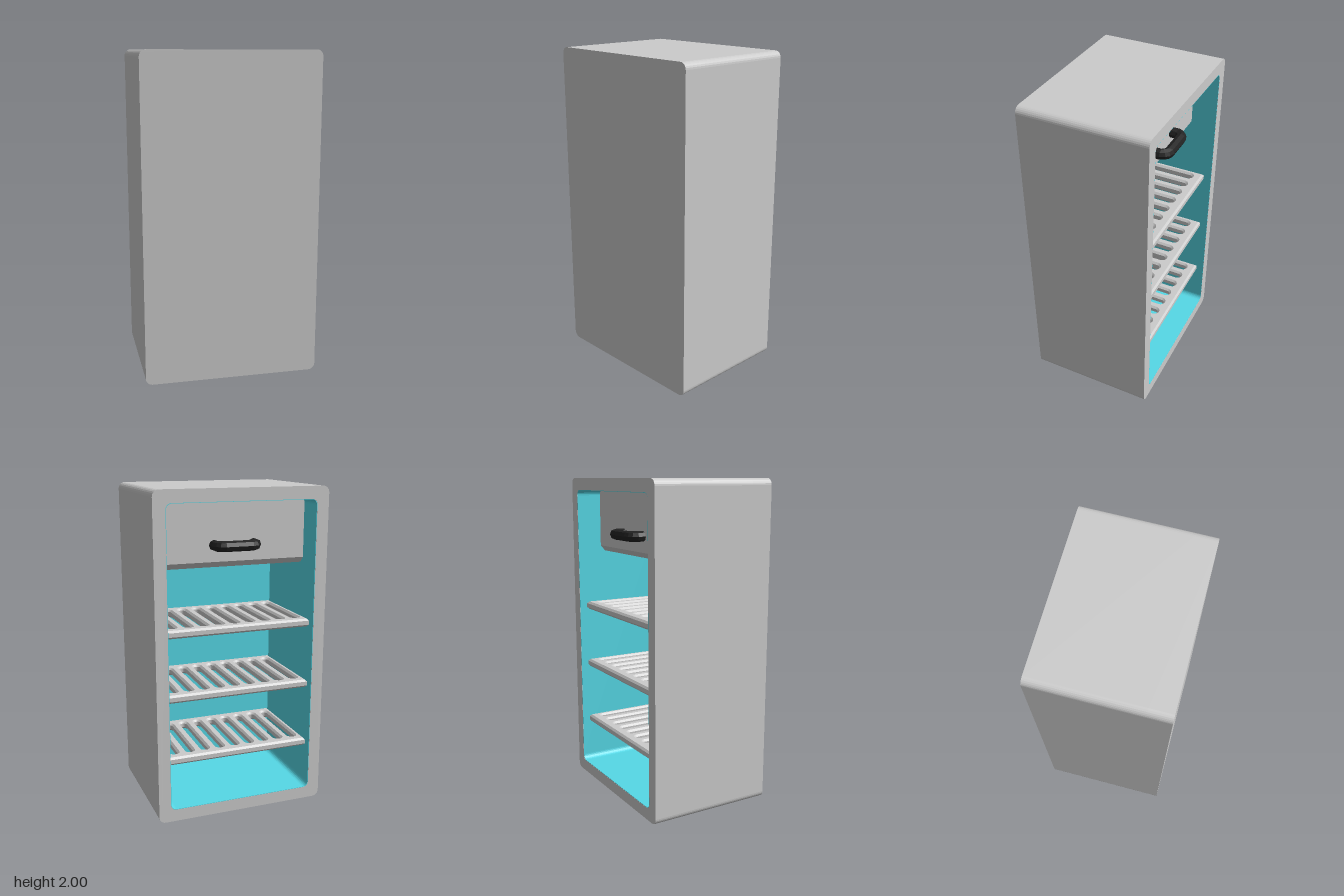
import * as THREE from 'three';

const grey = new THREE.MeshStandardMaterial({ color: 0xcccccc });
const teal = new THREE.MeshStandardMaterial({ color: 0x55d8e6 });
const black = new THREE.MeshStandardMaterial({ color: 0x222222, flatShading: true });

const W = 0.54, H = 2, D = 0.395; // half width, height, half depth
const WALL = 0.075, BACK = 0.26;  // wall thickness, z of the inner back wall

// Traces a rounded rectangle into a Shape or Path
function roundRect(path, x0, y0, x1, y1, r) {
  path.moveTo(x0 + r, y0);
  path.lineTo(x1 - r, y0);
  path.absarc(x1 - r, y0 + r, r, -Math.PI / 2, 0);
  path.lineTo(x1, y1 - r);
  path.absarc(x1 - r, y1 - r, r, 0, Math.PI / 2);
  path.lineTo(x0 + r, y1);
  path.absarc(x0 + r, y1 - r, r, Math.PI / 2, Math.PI);
  path.lineTo(x0, y0 + r);
  path.absarc(x0 + r, y0 + r, r, Math.PI, Math.PI * 1.5);
  return path;
}

// Rounded cabinet outline pulled in by a margin
const outline = (path, inset, r) =>
  roundRect(path, -W + inset, inset, W - inset, H - inset, r);

function extrude(shape, z0, z1) {
  const g = new THREE.ExtrudeGeometry(shape, { depth: z1 - z0, bevelEnabled: false, curveSegments: 3 });
  return g.translate(0, 0, z0);
}

function add(parent, name, geometry, material) {
  const mesh = new THREE.Mesh(geometry, material);
  mesh.name = name;
  parent.add(mesh);
  return mesh;
}

// Shelf plate with a row of round-ended slots
function shelfGeometry() {
  const b = 0.012, half = W - WALL - 0.004 - b, slots = 9, pitch = 0.1;
  const shape = new THREE.Shape();
  shape.moveTo(-half, -BACK + b + 0.002);
  shape.lineTo(half, -BACK + b + 0.002);
  shape.lineTo(half, 0.345 - b);
  shape.lineTo(-half, 0.345 - b);
  for (let i = 0; i < slots; i++) {
    const x = (i - (slots - 1) / 2) * pitch;
    shape.holes.push(roundRect(new THREE.Path(), x - 0.035, -0.21, x + 0.035, 0.295, 0.0349));
  }
  const g = new THREE.ExtrudeGeometry(shape, {
    depth: 0.05 - 2 * b, bevelSize: b, bevelThickness: b, bevelSegments: 1, curveSegments: 4,
  });
  return g.rotateX(-Math.PI / 2).translate(0, b - 0.05, 0); // top lies at y = 0
}

export function createModel() {
  const model = new THREE.Group();
  model.name = 'refrigerator';

  // Cabinet: walls around the opening, closed by a thick panel
  const ring = outline(new THREE.Shape(), 0, 0.04);
  ring.holes.push(outline(new THREE.Path(), WALL, 0.035));
  const cabinet = new THREE.Group();
  cabinet.name = 'cabinet';
  add(cabinet, 'cabinetWalls', extrude(ring, -D, BACK), grey);
  add(cabinet, 'closedPanel', extrude(outline(new THREE.Shape(), 0, 0.04), BACK, D), grey);
  model.add(cabinet);

  // Coloured lining of the compartment
  const lining = outline(new THREE.Shape(), WALL, 0.035);
  lining.holes.push(outline(new THREE.Path(), WALL + 0.003, 0.033));
  add(model, 'liningWalls', extrude(lining, -D + 0.001, BACK), teal);
  add(model, 'liningBack', extrude(outline(new THREE.Shape(), WALL, 0.035), BACK - 0.003, BACK), teal);

  // Freezer drawer: side profile with a chamfered lower front edge
  const half = W - WALL - 0.004, top = H - WALL - 0.004;
  const profile = new THREE.Shape([
    [-BACK + 0.004, 1.525], [0.205, 1.525], [0.235, 1.56], [0.235, top], [-BACK + 0.004, top],
  ].map(([u, y]) => new THREE.Vector2(u, y)));
  const drawer = new THREE.Group();
  drawer.name = 'freezerDrawer';
  add(drawer, 'drawerBox', extrude(profile, -half, half).rotateY(Math.PI / 2), grey);

  // Drawer handle: a bar bent back into two feet
  const bends = [[-0.125, -0.225], [-0.125, -0.285], [-0.095, -0.315], [0.095, -0.315], [0.125, -0.285], [0.125, -0.225]];
  const path = new THREE.CurvePath();
  for (let i = 1; i < bends.length; i++) {
    const [a, b] = [bends[i - 1], bends[i]].map(([x, z]) => new THREE.Vector3(x, 1.66, z));
    path.add(new THREE.LineCurve3(a, b));
  }
  add(drawer, 'drawerHandle', new THREE.TubeGeometry(path, 28, 0.032, 8), black);
  model.add(drawer);

  // Slotted shelves
  const shelf = shelfGeometry();
  for (let i = 0; i < 3; i++) {
    add(model, 'shelf' + (i + 1), shelf, grey).position.y = 1.19 - i * 0.397;
  }
  return model;
}
